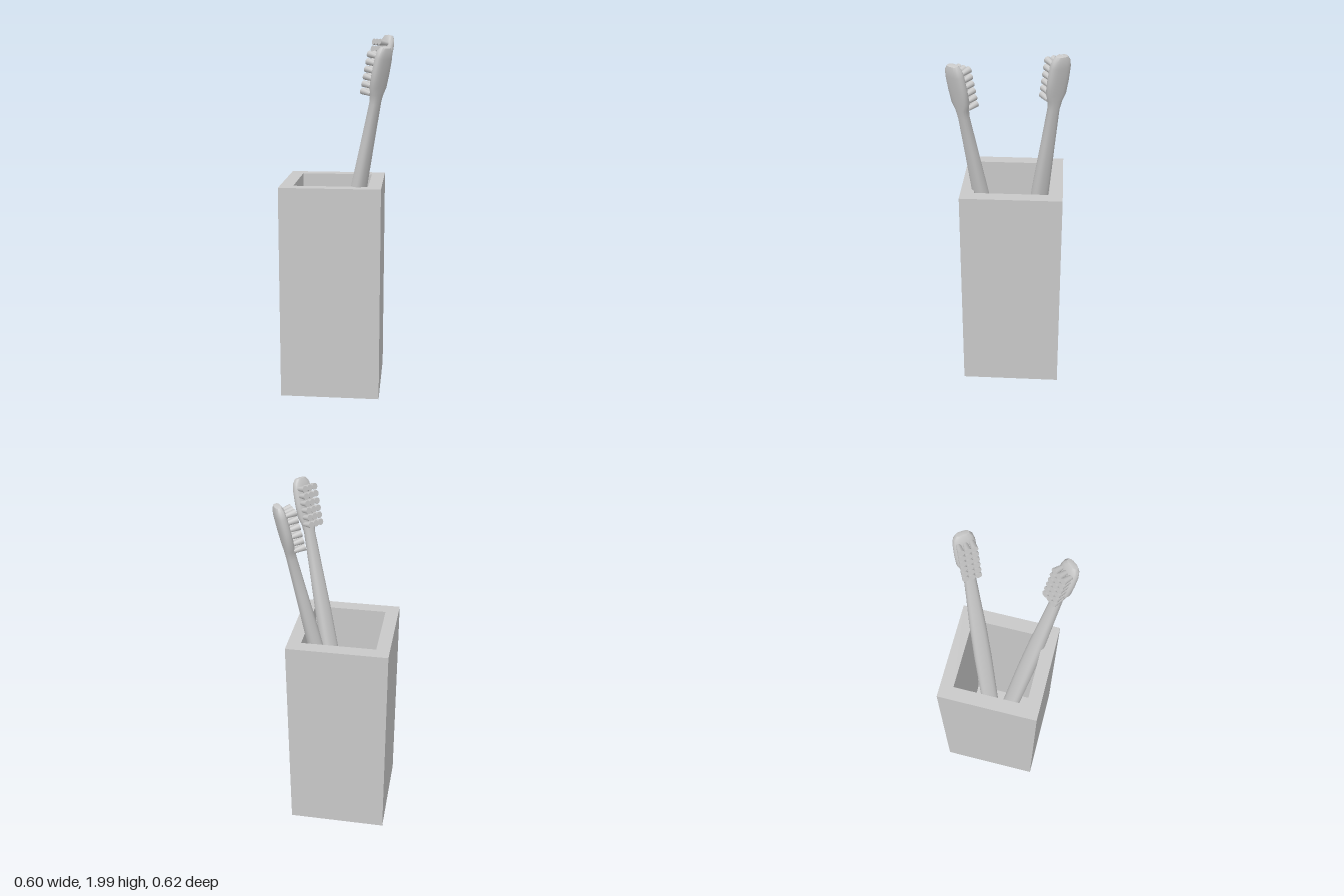
import * as THREE from 'three';
import { toCreasedNormals } from 'three/addons/utils/BufferGeometryUtils.js';

const CENTER_X = -0.034, CENTER_Z = -0.015;
const OUTER = 0.55, INNER = 0.404, HEIGHT = 1.19, FLOOR = 0.073;

// Handle and head sections: [distance from the bottom, width, thickness]
const SECTIONS = [
  [0, 0.001, 0.001], [0, 0.05, 0.042], [0.03, 0.088, 0.058], [0.25, 0.1, 0.075],
  [0.8, 0.1, 0.08], [1.1, 0.09, 0.073], [1.35, 0.072, 0.06], [1.56, 0.06, 0.05],
  [1.61, 0.078, 0.05], [1.65, 0.11, 0.052], [1.72, 0.116, 0.053], [1.8, 0.112, 0.052],
  [1.835, 0.096, 0.046], [1.855, 0.066, 0.032], [1.86, 0.001, 0.001],
];

// Joins rounded cross-sections along y
function loft(sections, sides) {
  const positions = [], index = [];
  const round = (v) => Math.sign(v) * Math.pow(Math.abs(v), 0.75);
  for (const [y, width, depth] of sections) {
    for (let j = 0; j < sides; j++) {
      const a = (j / sides) * Math.PI * 2;
      positions.push(round(Math.cos(a)) * width / 2, y, round(Math.sin(a)) * depth / 2);
    }
  }
  for (let i = 0; i < sections.length - 1; i++) {
    for (let j = 0; j < sides; j++) {
      const a = i * sides + j, b = i * sides + (j + 1) % sides;
      index.push(a, a + sides, b, b, a + sides, b + sides);
    }
  }
  const geometry = new THREE.BufferGeometry();
  geometry.setAttribute('position', new THREE.Float32BufferAttribute(positions, 3));
  geometry.setIndex(index);
  return toCreasedNormals(geometry, 0.7);
}

function addMesh(parent, name, geometry, material) {
  const mesh = new THREE.Mesh(geometry, material);
  mesh.name = name;
  parent.add(mesh);
  return mesh;
}

// Square path, used for the cup wall and its opening
function square(path, size) {
  const h = size / 2;
  path.moveTo(-h, -h);
  path.lineTo(h, -h);
  path.lineTo(h, h);
  path.lineTo(-h, h);
  path.closePath();
  return path;
}

function createHolder(material) {
  const holder = new THREE.Group();
  holder.name = 'holder';
  holder.position.set(CENTER_X, 0, CENTER_Z);
  const shape = square(new THREE.Shape(), OUTER);
  shape.holes.push(square(new THREE.Path(), INNER));
  const walls = new THREE.ExtrudeGeometry(shape, { depth: HEIGHT, bevelEnabled: false });
  walls.rotateX(-Math.PI / 2);
  addMesh(holder, 'holderWalls', walls, material);
  const floor = new THREE.BoxGeometry(INNER, FLOOR, INNER);
  addMesh(holder, 'holderFloor', floor, material).position.y = FLOOR / 2;
  return holder;
}

// Brush leaning from bottom towards top, bristles facing inwards (-z locally)
function createBrush(name, bottom, top, material) {
  const brush = new THREE.Group();
  brush.name = name;
  addMesh(brush, 'handleAndHead', loft(SECTIONS, 20), material);

  // Tufts flare from the head to their tips
  const tuft = new THREE.CylinderGeometry(0.018, 0.011, 0.06, 10);
  tuft.rotateX(-Math.PI / 2);
  for (let row = 0; row < 6; row++) {
    for (let column = -1; column <= 1; column++) {
      addMesh(brush, 'bristleTuft', tuft, material)
        .position.set(column * 0.033, 1.61 + row * 0.039, -0.042);
    }
  }

  const axis = top.clone().sub(bottom).normalize();
  const out = new THREE.Vector3(axis.x, 0, axis.z);
  out.addScaledVector(axis, -out.dot(axis)).normalize();
  const side = new THREE.Vector3().crossVectors(axis, out);
  brush.quaternion.setFromRotationMatrix(new THREE.Matrix4().makeBasis(side, axis, out));
  brush.position.copy(bottom);
  return brush;
}

export function createModel() {
  const material = new THREE.MeshStandardMaterial({ color: 0xc8c8c8 });
  material.name = 'light grey';
  const model = new THREE.Group();
  model.name = 'toothbrushHolder';
  model.add(
    createHolder(material),
    createBrush('frontBrush', new THREE.Vector3(-0.08, 0.12, 0),
      new THREE.Vector3(0.257, 1.93, 0.268), material),
    createBrush('backBrush', new THREE.Vector3(-0.08, 0.17, -0.045),
      new THREE.Vector3(0.257, 1.995, -0.265), material),
  );
  return model;
}
